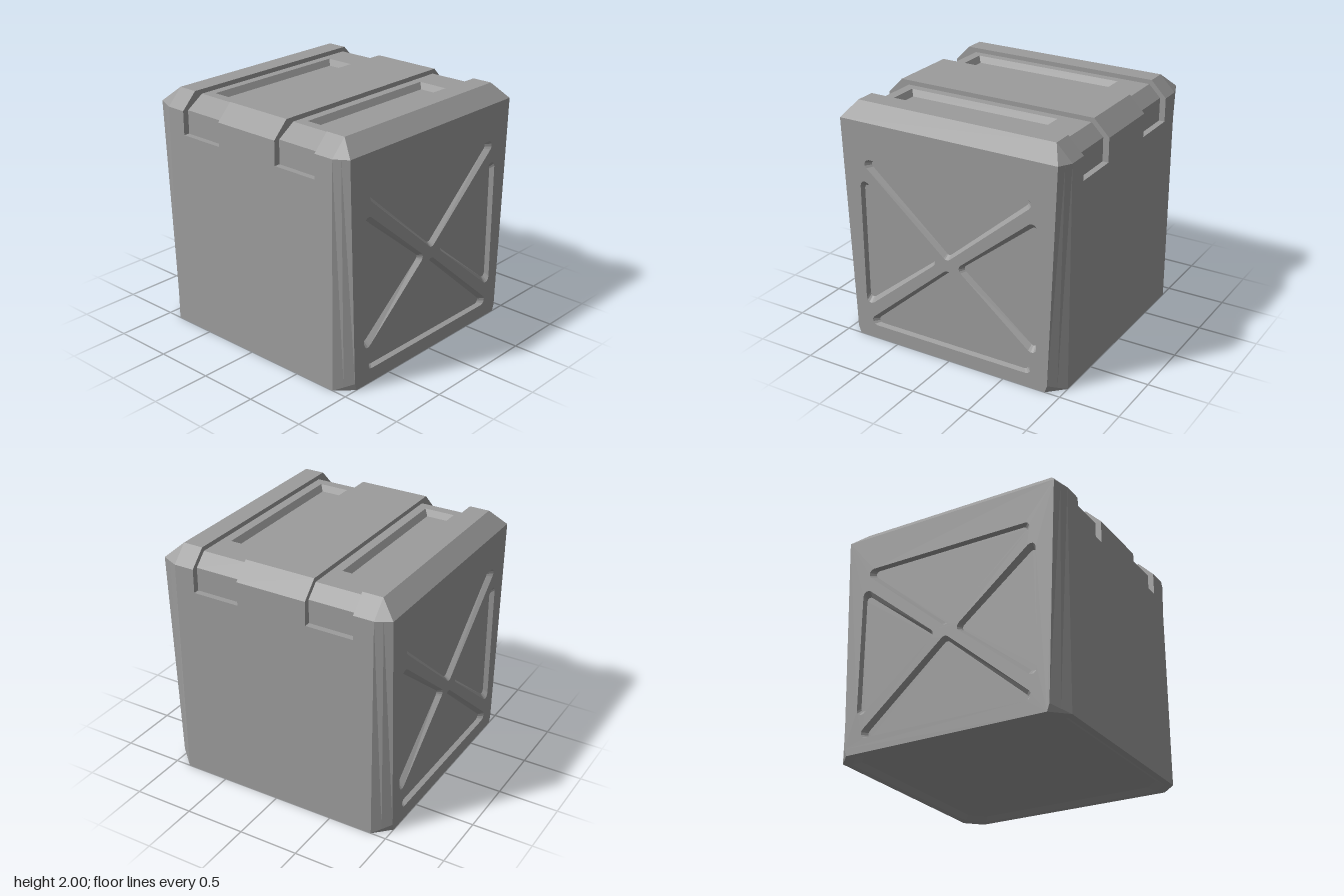
import * as THREE from 'three';
import { mergeGeometries } from 'three/addons/utils/BufferGeometryUtils.js';

const material = new THREE.MeshStandardMaterial({ color: 0x9c9c9c, flatShading: true });
const v2 = (pts) => pts.map(([x, y]) => new THREE.Vector2(x, y));

// Geometry from convex polygons, each a loop of [x, y, z] corners
function polygons(faces) {
  const pos = [];
  for (const f of faces)
    for (let i = 1; i < f.length - 1; i++) pos.push(...f[0], ...f[i], ...f[i + 1]);
  const g = new THREE.BufferGeometry();
  g.setAttribute('position', new THREE.Float32BufferAttribute(pos, 3));
  g.computeVertexNormals();
  return g;
}

function flat(outline, holes = [], z = 0) {
  const shape = new THREE.Shape(v2(outline));
  shape.holes = holes.map((h) => new THREE.Path(v2(h)));
  const g = new THREE.ShapeGeometry(shape).toNonIndexed().translate(0, 0, z);
  g.deleteAttribute('uv');
  return g;
}

// Flat panel facing local +z, with sunken pockets that have sloped walls
function panel(name, outline, pockets = []) {
  const parts = [flat(outline, pockets.map((p) => p.outer))];
  for (const { outer, inner, depth } of pockets) {
    parts.push(flat(inner, [], -depth));
    parts.push(polygons(outer.map((o, i) => {
      const j = (i + 1) % outer.length;
      return [[...o, 0], [...outer[j], 0], [...inner[j], -depth], [...inner[i], -depth]];
    })));
  }
  const mesh = new THREE.Mesh(mergeGeometries(parts), material);
  mesh.name = name;
  return mesh;
}

function place(mesh, rx, ry, distance) {
  mesh.rotation.set(rx, ry, 0);
  mesh.translateZ(distance);
  return mesh;
}

// Counterclockwise loop of corner centres, rounded with radius r
function rounded(centres, r, steps = 4) {
  const n = centres.length, out = [];
  const normalAngle = (a, b) => Math.atan2(-(b[0] - a[0]), b[1] - a[1]);
  centres.forEach((c, i) => {
    const a0 = normalAngle(centres[(i + n - 1) % n], c);
    let a1 = normalAngle(c, centres[(i + 1) % n]);
    if (a1 < a0) a1 += Math.PI * 2;
    for (let k = 0; k <= steps; k++) {
      const a = a0 + ((a1 - a0) * k) / steps;
      out.push([c[0] + r * Math.cos(a), c[1] + r * Math.sin(a)]);
    }
  });
  return out;
}

const rect = (x0, x1, y0, y1) => [[x0, y0], [x1, y0], [x1, y1], [x0, y1]];

export function createModel() {
  const crate = new THREE.Group();
  crate.name = 'crate';
  const W = 0.87; // half width of the flat faces
  const H = 1.88, F = 1.867; // top edge of the side and front panels

  // Side panels with four triangular pockets forming a cross; s insets the corners, t the tip
  const triangles = (s, t) => [
    [[s - 0.7, 1.535], [0, 0.94 + t], [0.7 - s, 1.535]],
    [[s - 0.7, 0.16], [0.7 - s, 0.16], [0, 0.76 - t]],
    [[0.75, 0.355 + s], [0.75, 1.345 - s], [0.15 + t, 0.85]],
    [[-0.75, 1.345 - s], [-0.75, 0.355 + s], [-0.15 - t, 0.85]],
  ];
  const floors = triangles(0.03, 0.018);
  const pockets = triangles(0, 0).map((t, i) => (
    { outer: rounded(t, 0.042), inner: rounded(floors[i], 0.03), depth: 0.04 }));
  const sideOutline = [[-W, 0], [W, 0], [0.89, 0.06], [0.955, H], [-0.955, H], [-0.89, 0.06]];
  crate.add(place(panel('leftPanel', sideOutline, pockets), 0, Math.PI / 2, 1));
  crate.add(place(panel('rightPanel', sideOutline, pockets), 0, -Math.PI / 2, 1));

  // Front and back panels, notched at the top for the strap channels
  const frontOutline = [[-W, 0], [W, 0], [W, F], [0.7, F], [0.7, 1.67], [0.3, 1.67], [0.3, F],
    [-0.3, F], [-0.3, 1.67], [-0.7, 1.67], [-0.7, F], [-W, F]];
  crate.add(place(panel('frontPanel', frontOutline), 0, 0, 1));
  crate.add(place(panel('backPanel', frontOutline), 0, Math.PI, 1));

  // Underside with a shallow recess
  const base = [[W, -1], [1, -W], [1, W], [W, 1], [-W, 1], [-1, W], [-1, -W], [-W, -1]];
  const scaled = (s) => base.map(([x, y]) => [x * s, y * s]);
  const recess = { outer: scaled(0.945), inner: scaled(0.89), depth: 0.03 };
  crate.add(place(panel('underside', base, [recess]), Math.PI / 2, 0, 0));

  // Lid top in three strips
  const strips = [[-W, -0.7], [-0.3, 0.3], [0.7, W]];
  for (const [a, b] of strips)
    crate.add(place(panel('lidTop', rect(a, b, -W, W)), -Math.PI / 2, 0, 2));

  // Chamfered corners (each in two tapering strips) and lid bevels, mirrored to every side
  const corners = [], bevels = [];
  const A = [W, F, 1], B = [1, H, 0.955], C = [1, 0.06, 0.89], D = [1, 0, W], E = [W, 0, 1];
  const T = [W, 2, W], M = [0.935, 1.8735, 0.9775], N = [0.935, 0.03, 0.945];
  for (const sx of [1, -1]) for (const sz of [1, -1]) {
    const mirror = (f) => {
      const m = f.map(([x, y, z]) => [x * sx, y, z * sz]);
      return sx * sz < 0 ? m.reverse() : m;
    };
    corners.push(...[[A, E, N], [A, N, M], [M, N, C], [M, C, B], [E, D, C], [A, B, T]].map(mirror));
    if (sz > 0) bevels.push(mirror([B, [1, H, -0.955], [W, 2, -W], T]));
    if (sx > 0) for (const [a, b] of strips)
      bevels.push(mirror([[a, F, 1], [b, F, 1], [b, 2, W], [a, 2, W]]));
  }
  for (const [name, faces] of [['cornerChamfers', corners], ['lidBevels', bevels]]) {
    const mesh = new THREE.Mesh(polygons(faces), material);
    mesh.name = name;
    crate.add(mesh);
  }

  // Strap channels: [z, y] profile running from front to back
  const profile = [[1, 1.67], [0.95, 1.67], [0.95, 1.863], [0.8, 1.963],
    [-0.85, 1.963], [-0.95, 1.863], [-0.95, 1.67], [-1, 1.67]];
  const wall = [[-1, F], [-W, 2], [W, 2], [1, F], ...profile];
  for (const x of [-0.7, 0.3]) {
    const strap = new THREE.Group();
    strap.name = 'strapChannel';
    const faces = [];
    for (let i = 0; i < profile.length - 1; i++) {
      if (i === 3) continue; // the top run is the pocketed panel below
      const [[z0, y0], [z1, y1]] = [profile[i], profile[i + 1]];
      faces.push([[x, y0, z0], [x + 0.4, y0, z0], [x + 0.4, y1, z1], [x, y1, z1]]);
    }
    const ends = new THREE.Mesh(polygons(faces), material);
    ends.name = 'channelEnds';
    const pocket = {
      outer: rect(x + 0.07, x + 0.325, -0.72, 0.6),
      inner: rect(x + 0.102, x + 0.293, -0.69, 0.572),
      depth: 0.05,
    };
    const top = panel('channelTop', rect(x, x + 0.4, -0.8, 0.85), [pocket]);
    const flipped = wall.map(([z, y]) => [-z, y]);
    strap.add(ends, place(top, -Math.PI / 2, 0, 1.963));
    strap.add(place(panel('channelWall', flipped), 0, Math.PI / 2, x));
    strap.add(place(panel('channelWall', wall), 0, -Math.PI / 2, -(x + 0.4)));
    crate.add(strap);
  }
  return crate;
}
